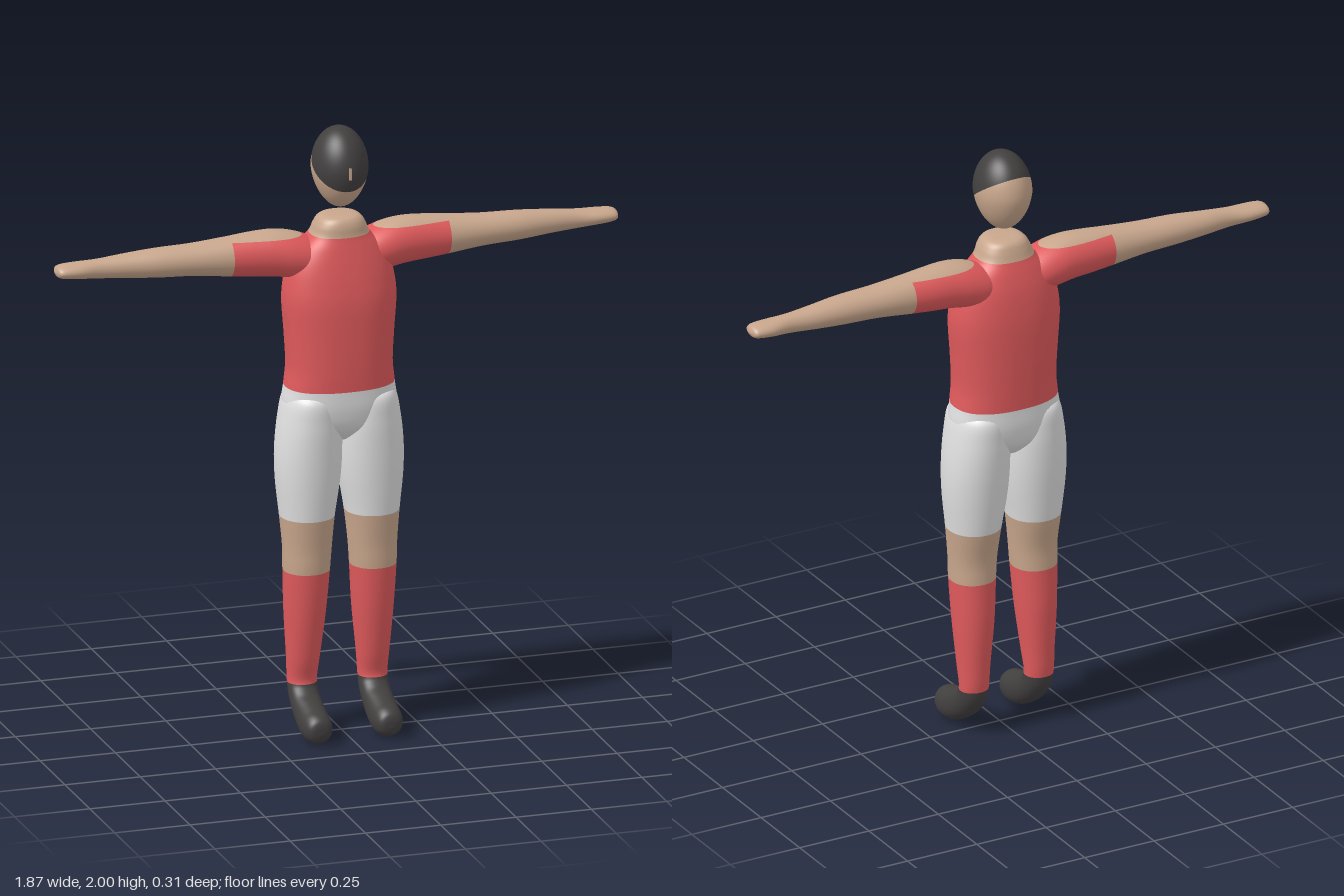
import * as THREE from 'three';

const mat = (name, color) => {
  const m = new THREE.MeshStandardMaterial({ color });
  m.name = name;
  return m;
};

// One horizontal cross-section: side limits, then front and back depth.
const level = (y, x0, x1, zFront, zBack) => [x0, x1, y, zFront, y, zBack];

// Smooth closed skin through sections [x0, x1, yFront, zFront, yBack, zBack], listed bottom to top.
function loft(sections, rings, power = 2, sides = 40) {
  const curveA = new THREE.CatmullRomCurve3(sections.map(s => new THREE.Vector3(s[0], s[1], s[2])), false, 'catmullrom');
  const curveB = new THREE.CatmullRomCurve3(sections.map(s => new THREE.Vector3(s[3], s[4], s[5])), false, 'catmullrom');
  const round = v => Math.sign(v) * Math.pow(Math.abs(v), 2 / power);
  const pos = [], index = [];
  for (let i = 0; i <= rings; i++) {
    const { x: x0, y: x1, z: yF } = curveA.getPoint(i / rings);
    const { x: zF, y: yB, z: zB } = curveB.getPoint(i / rings);
    for (let j = 0; j < sides; j++) {
      const t = j / sides * Math.PI * 2;
      const u = round(Math.cos(t)), v = round(Math.sin(t));
      pos.push((x0 + x1) / 2 + u * (x1 - x0) / 2, (yF + yB) / 2 + v * (yF - yB) / 2, (zF + zB) / 2 + v * (zF - zB) / 2);
    }
  }
  for (let i = 0; i < rings; i++) for (let j = 0; j < sides; j++) {
    const k = (j + 1) % sides, a = i * sides, c = a + sides;
    index.push(a + j, c + j, a + k, a + k, c + j, c + k);
  }
  // End caps
  for (const i of [0, rings]) {
    const s = sections[i ? sections.length - 1 : 0], mid = pos.length / 3;
    pos.push((s[0] + s[1]) / 2, (s[2] + s[4]) / 2, (s[3] + s[5]) / 2);
    for (let j = 0; j < sides; j++) {
      const p = i * sides + j, q = i * sides + (j + 1) % sides;
      index.push(mid, ...(i ? [q, p] : [p, q]));
    }
  }
  const g = new THREE.BufferGeometry();
  g.setAttribute('position', new THREE.Float32BufferAttribute(pos, 3));
  g.setIndex(index);
  g.computeVertexNormals();
  return g;
}

// Reverse the winding after a reflection.
function flip(g) {
  const a = g.index.array;
  for (let i = 0; i < a.length; i += 3) [a[i], a[i + 1]] = [a[i + 1], a[i]];
  return g;
}
const mirrored = g => flip(g.clone().scale(-1, 1, 1));

// Split along the plane n.p = d into [beyond, before], keeping smooth normals.
function cut(geometry, n, d) {
  const g = geometry.index ? geometry.toNonIndexed() : geometry;
  const P = g.attributes.position, N = g.attributes.normal;
  return [1, -1].map(side => {
    const pos = [], nor = [];
    for (let i = 0; i < P.count; i += 3) {
      const tri = [0, 1, 2].map(k => {
        const p = new THREE.Vector3().fromBufferAttribute(P, i + k);
        return { p, n: new THREE.Vector3().fromBufferAttribute(N, i + k), h: side * (p.dot(n) - d) };
      });
      const poly = [];
      tri.forEach((a, k) => {
        const b = tri[(k + 1) % 3];
        if (a.h >= 0) poly.push(a);
        if ((a.h >= 0) !== (b.h >= 0)) {
          const t = a.h / (a.h - b.h);
          poly.push({ p: a.p.clone().lerp(b.p, t), n: a.n.clone().lerp(b.n, t).normalize() });
        }
      });
      for (let k = 1; k + 1 < poly.length; k++)
        for (const v of [poly[0], poly[k], poly[k + 1]]) {
          pos.push(v.p.x, v.p.y, v.p.z);
          nor.push(v.n.x, v.n.y, v.n.z);
        }
    }
    const out = new THREE.BufferGeometry();
    out.setAttribute('position', new THREE.Float32BufferAttribute(pos, 3));
    out.setAttribute('normal', new THREE.Float32BufferAttribute(nor, 3));
    return out;
  });
}

export function createModel() {
  const skin = mat('skin', 0xc8a68c), red = mat('red cloth', 0xe05a5c);
  const white = mat('white cloth', 0xe0e0e0), dark = mat('dark hair and shoes', 0x423f3f);
  const model = new THREE.Group();
  model.name = 'footballer';
  const add = (name, geometry, material, parent = model) => {
    const m = new THREE.Mesh(geometry, material);
    m.name = name;
    parent.add(m);
  };
  const up = new THREE.Vector3(0, 1, 0);

  // Torso from crotch to neck, split into shorts, shirt and neck
  const torso = loft([
    [0.965, 0.02, 0.0, -0.06], [0.975, 0.06, 0.03, -0.09], [1.02, 0.14, 0.075, -0.13],
    [1.08, 0.183, 0.092, -0.145], [1.15, 0.178, 0.096, -0.147], [1.22, 0.171, 0.099, -0.149],
    [1.32, 0.176, 0.1, -0.151], [1.43, 0.184, 0.099, -0.151], [1.5, 0.178, 0.09, -0.146],
    [1.56, 0.162, 0.078, -0.137], [1.61, 0.132, 0.066, -0.123], [1.65, 0.096, 0.056, -0.108],
    [1.68, 0.083, 0.053, -0.098], [1.7, 0.07, 0.045, -0.088], [1.71, 0.05, 0.03, -0.07], [1.712, 0.01, -0.01, -0.03],
  ].map(([y, w, f, b]) => level(y, -w, w, f, b)), 90, 2.35, 56);
  const [neck, belowNeck] = cut(torso, up, 1.65);
  const [shirt, seat] = cut(belowNeck, up, 1.15);
  add('neck', neck, skin);
  add('shirt', shirt, red);
  add('shortsSeat', seat, white);

  // Leg from toe to hip
  const leg = loft([
    [0.114, 0.12, 0.045, 0.156, 0.04, 0.156], [0.09, 0.144, 0.066, 0.156, 0.017, 0.147],
    [0.076, 0.158, 0.085, 0.149, 0.004, 0.125], [0.069, 0.165, 0.099, 0.13, 0, 0.09],
    [0.067, 0.167, 0.108, 0.1, 0.015, 0.04], [0.068, 0.166, 0.122, 0.06, 0.06, -0.03],
    [0.069, 0.165, 0.138, 0.022, 0.115, -0.074],
    level(0.17, 0.069, 0.165, 0, -0.087), level(0.25, 0.062, 0.169, 0.018, -0.092),
    level(0.4, 0.046, 0.179, 0.043, -0.1), level(0.54, 0.036, 0.185, 0.057, -0.096),
    level(0.62, 0.03, 0.187, 0.06, -0.096), level(0.72, 0.02, 0.195, 0.07, -0.114),
    level(0.84, 0.002, 0.207, 0.081, -0.13), level(0.94, -0.004, 0.208, 0.088, -0.14),
    level(1.04, 0, 0.197, 0.092, -0.144), level(1.12, 0.02, 0.178, 0.085, -0.135), level(1.145, 0.06, 0.14, 0.03, -0.08),
  ], 100, 2.1);

  // Arm built upright, then swapped so that its length runs along x
  const arm = loft([
    [0.04, 1.53, 1.61, 0.02, -0.1], [0.1, 1.505, 1.642, 0.04, -0.12], [0.16, 1.51, 1.662, 0.042, -0.124],
    [0.22, 1.519, 1.67, 0.035, -0.12], [0.29, 1.525, 1.667, 0.027, -0.116], [0.36, 1.532, 1.66, 0.021, -0.111],
    [0.48, 1.546, 1.65, 0.012, -0.104], [0.6, 1.552, 1.646, 0.004, -0.1], [0.7, 1.56, 1.638, -0.01, -0.094],
    [0.79, 1.567, 1.63, -0.019, -0.085], [0.86, 1.573, 1.626, -0.013, -0.094], [0.905, 1.578, 1.623, -0.014, -0.093],
    [0.925, 1.584, 1.617, -0.022, -0.086], [0.933, 1.596, 1.604, -0.045, -0.063],
  ].map(s => level(...s)), 80);
  const p = arm.attributes.position;
  for (let i = 0; i < p.count; i++) p.setXY(i, p.getY(i), p.getX(i));
  flip(arm).computeVertexNormals();

  for (const [side, sign] of [['left', 1], ['right', -1]]) {
    const shape = g => sign > 0 ? g : mirrored(g);
    const legGroup = new THREE.Group(), armGroup = new THREE.Group();
    legGroup.name = side + 'Leg';
    armGroup.name = side + 'Arm';
    model.add(legGroup, armGroup);

    const [shorts, l1] = cut(shape(leg), up, 0.72);
    const [knee, l2] = cut(l1, up, 0.54);
    const [sock, shoe] = cut(l2, up, 0.16);
    add(side + 'ShortsLeg', shorts, white, legGroup);
    add(side + 'Knee', knee, skin, legGroup);
    add(side + 'Sock', sock, red, legGroup);
    add(side + 'Shoe', shoe, dark, legGroup);

    const [forearm, upper] = cut(shape(arm), new THREE.Vector3(sign, 0, 0), 0.36);
    const [shoulder, sleeve] = cut(upper, up, 1.65);
    add(side + 'Forearm', forearm, skin, armGroup);
    add(side + 'ShoulderTop', shoulder, skin, armGroup);
    add(side + 'Sleeve', sleeve, red, armGroup);
  }

  // Egg-shaped head, with hair above a plane sloping up to the back
  const head = new THREE.SphereGeometry(1, 48, 32);
  const h = head.attributes.position;
  for (let i = 0; i < h.count; i++) {
    const y = h.getY(i), taper = 1 + 0.12 * Math.min(0, y);
    h.setXYZ(i, h.getX(i) * 0.09 * taper, 1.868 + y * 0.132, -0.018 + h.getZ(i) * 0.108 * taper);
  }
  head.computeVertexNormals();
  const slope = new THREE.Vector3(0, 0.196, 0.143).normalize();
  const [hair, face] = cut(head, slope, slope.dot(new THREE.Vector3(0, 1.804, 0.08)));
  add('hair', hair, dark);
  add('face', face, skin);

  // Small nose ridge
  const nose = new THREE.BoxGeometry(0.008, 0.038, 0.009);
  nose.translate(0, 1.873, 0.088);
  add('nose', nose, skin);
  return model;
}
